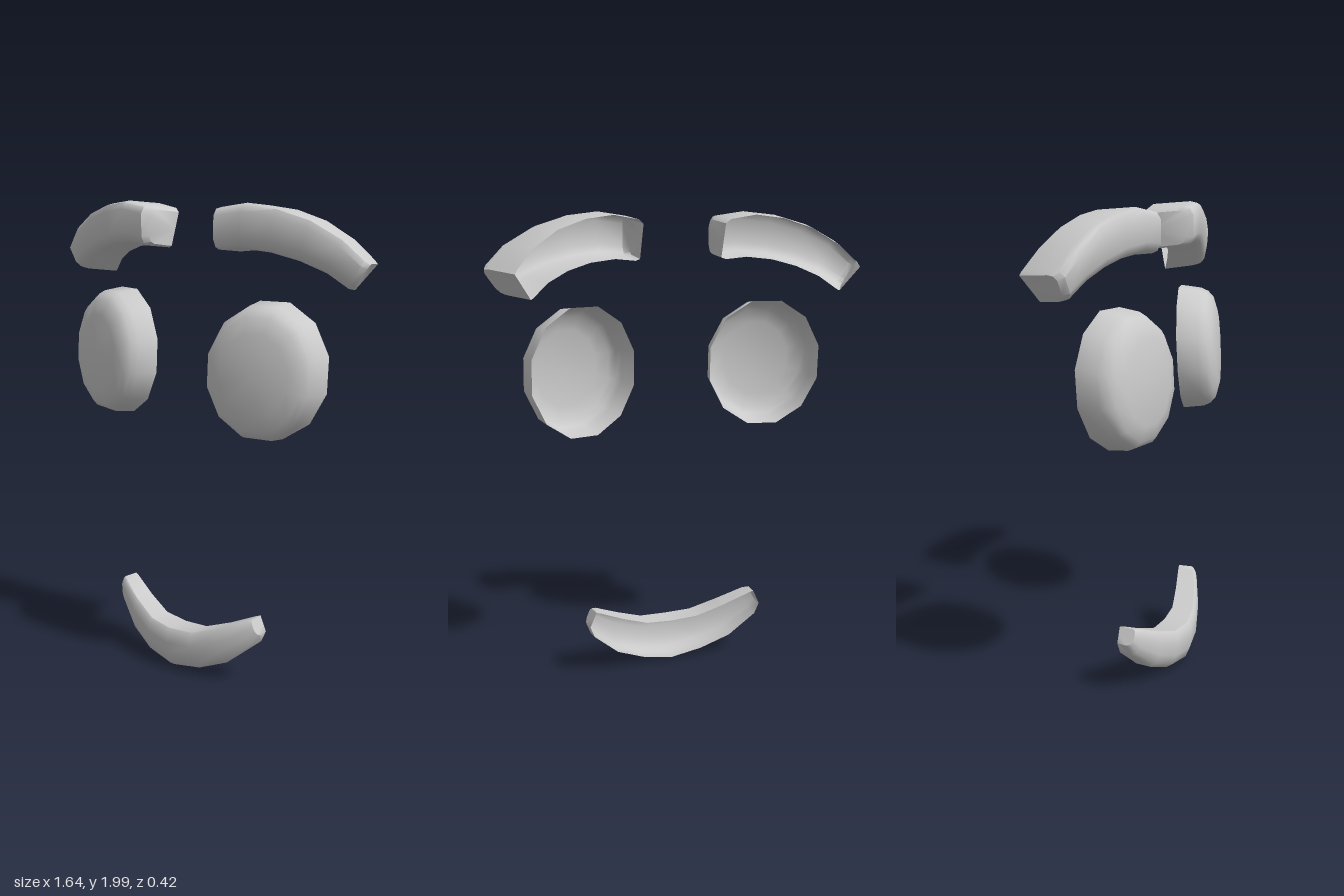
import * as THREE from 'three';
import { toCreasedNormals } from 'three/addons/utils/BufferGeometryUtils.js';

const material = new THREE.MeshStandardMaterial({ color: 0xcccccc, side: THREE.DoubleSide });

function makeMesh(name, positions, index) {
  const geo = new THREE.BufferGeometry();
  geo.setAttribute('position', new THREE.Float32BufferAttribute(positions, 3));
  geo.setIndex(index);
  const mesh = new THREE.Mesh(toCreasedNormals(geo, 0.85), material);
  mesh.name = name;
  return mesh;
}

// Trough open at the back, lofted along +x with closed ends.
// Station: [topX, topY, bottomX, bottomY, backZ, frontZ, frontShiftX]
// Profile: [height 0..1, depth 0..1] from bottom back to top back.
function trough(name, stations, profile, lift = 0, bottomBack = 0) {
  const pos = [], index = [], n = profile.length;
  for (const [tx, ty, bx, by, zb, zf, shift] of stations) {
    for (const [v, w] of profile) {
      const back = zb + bottomBack * (1 - v);
      pos.push(bx + (tx - bx) * v + shift * w, by + (ty - by) * v + lift * w, back + (zf - back) * w);
    }
  }
  const last = stations.length - 1;
  for (let i = 0; i < last; i++) {
    for (let j = 0; j < n - 1; j++) {
      const a = i * n + j, b = a + n;
      index.push(a, b, b + 1, a, b + 1, a + 1);
    }
  }
  // end caps, fanned from the middle of the open edge
  for (const s of [0, last]) {
    const p = s * n, q = p + n - 1, c = pos.length / 3;
    for (let k = 0; k < 3; k++) pos.push((pos[p * 3 + k] + pos[q * 3 + k]) / 2);
    for (let j = p; j < q; j++) s === 0 ? index.push(c, j, j + 1) : index.push(c, j + 1, j);
  }
  return makeMesh(name, pos, index);
}

const mirror = (stations) =>
  stations.map(([tx, ty, bx, by, zb, zf, s]) => [-tx, ty, -bx, by, zb, zf, -s]).reverse();

// Twelve-sided oval dish, open at the back and turned outwards
function eye(name, side) {
  const rings = [[1, 0], [0.96, 0.09], [0.91, 0.12], [0.82, 0.143], [0.6, 0.16]]; // scale, depth
  const sides = 12, pos = [], index = [];
  const add = (dx, dy, depth) => pos.push(
    side * (0.41 + dx + 0.2 * depth), 1.35 + dy, 0.015 + depth - 0.23 * dx - 0.055 * dy);
  for (const [scale, depth] of rings) {
    for (let k = 0; k < sides; k++) {
      const a = (k + 0.5) / sides * Math.PI * 2;
      add(side * 0.243 * scale * Math.cos(a), 0.28 * scale * Math.sin(a), depth);
    }
  }
  add(0, 0, 0.167);
  const centre = rings.length * sides;
  for (let r = 0; r < rings.length; r++) {
    for (let k = 0; k < sides; k++) {
      const a = r * sides + k, b = r * sides + (k + 1) % sides;
      if (r === rings.length - 1) index.push(a, b, centre);
      else index.push(a, b, b + sides, a, b + sides, a + sides);
    }
  }
  return makeMesh(name, pos, index);
}

export function createModel() {
  const group = new THREE.Group();
  group.name = 'face';

  // Eyes
  group.add(eye('leftEye', 1), eye('rightEye', -1));

  // Eyebrows
  const browProfile = [[0, 0], [0, 0.78], [0.05, 0.92], [0.22, 1], [0.78, 1], [0.95, 0.92], [1, 0.78], [1, 0]];
  const brow = [
    [0.18, 1.95, 0.18, 1.81, -0.075, 0.105, 0],
    [0.2, 1.967, 0.2, 1.803, -0.08, 0.13, 0],
    [0.31, 1.985, 0.29, 1.812, -0.09, 0.12, 0.02],
    [0.43, 1.97, 0.4, 1.8, -0.108, 0.09, 0.04],
    [0.55, 1.93, 0.5, 1.772, -0.135, 0.06, 0.06],
    [0.66, 1.86, 0.59, 1.73, -0.17, 0.03, 0.08],
    [0.73, 1.785, 0.66, 1.675, -0.205, 0, 0.09],
    [0.74, 1.77, 0.67, 1.67, -0.21, -0.025, 0.09],
  ];
  group.add(trough('leftEyebrow', brow, browProfile, 0.017, 0.045));
  group.add(trough('rightEyebrow', mirror(brow), browProfile, 0.017, 0.045));

  // Smiling mouth
  const mouthProfile = [[0.03, 0], [0, 0.6], [0.1, 0.82], [0.35, 0.97], [0.65, 1], [0.9, 0.97], [1, 0.85], [1, 0]];
  const half = [
    [0.12, 0.195, 0.14, 0.03, 0.075, 0.188, 0],
    [0.24, 0.24, 0.27, 0.085, 0.05, 0.155, 0],
    [0.355, 0.293, 0.385, 0.185, 0.022, 0.11, 0],
    [0.375, 0.3, 0.405, 0.235, 0.018, 0.09, 0.005],
  ];
  const mouth = [...mirror(half), [0, 0.187, 0, 0.005, 0.08, 0.203, 0], ...half];
  group.add(trough('mouth', mouth, mouthProfile));

  return group;
}
